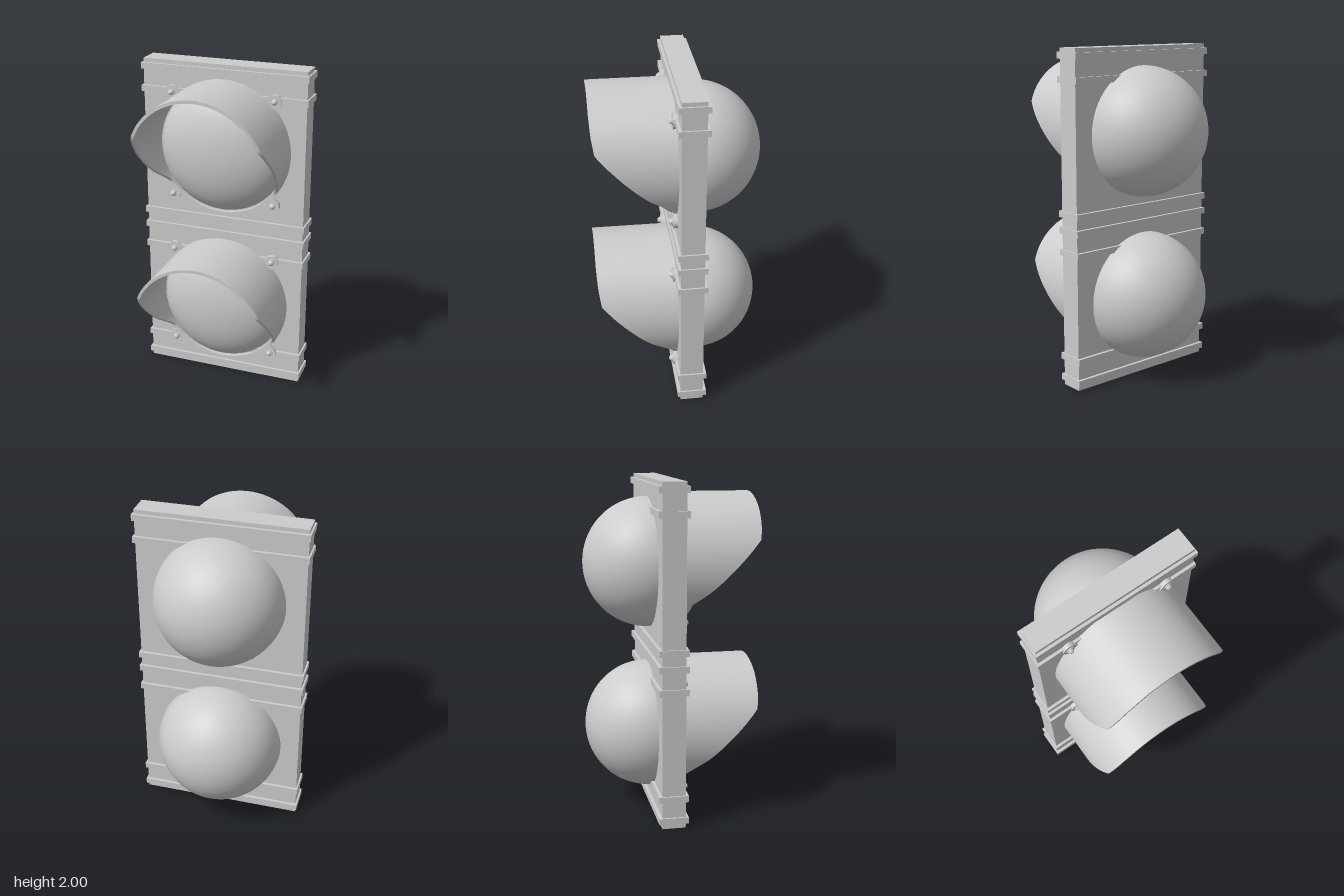
import * as THREE from 'three';
import { toCreasedNormals } from 'three/addons/utils/BufferGeometryUtils.js';

const material = new THREE.MeshStandardMaterial({ color: 0xcccccc });

function add(parent, name, geometry, x = 0, y = 0, z = 0) {
  const mesh = new THREE.Mesh(geometry, material);
  mesh.name = name;
  mesh.position.set(x, y, z);
  parent.add(mesh);
  return mesh;
}

// Front edge of the visor: [height above the lamp centre, z], bottom to top
const cut = [[-0.42, 0.05], [-0.24, 0.05], [-0.22, 0.07], [-0.135, 0.19], [-0.07, 0.26],
  [0.01, 0.34], [0.09, 0.417], [0.16, 0.48], [0.25, 0.494], [0.34, 0.5], [0.42, 0.5]];

function cutDepth(y) {
  const i = Math.max(1, cut.findIndex(p => p[0] >= y));
  const [y0, z0] = cut[i - 1], [y1, z1] = cut[i];
  return z0 + (z1 - z0) * (y - y0) / (y1 - y0);
}

// Thin tube around the lens, trimmed along the cut line
function visorGeometry(outer = 0.413, inner = 0.395, back = 0.01, segments = 128) {
  const positions = [], indices = [];
  for (let i = 0; i <= segments; i++) {
    const a = i / segments * Math.PI * 2;
    const front = cutDepth(outer * Math.sin(a));
    for (const [r, z] of [[outer, back], [outer, front], [inner, front], [inner, back]]) {
      positions.push(r * Math.cos(a), r * Math.sin(a), z);
    }
    if (i === segments) continue;
    for (let k = 0; k < 3; k++) {
      const p = i * 4 + k, q = p + 4;
      indices.push(p, q, q + 1, p, q + 1, p + 1);
    }
  }
  const geometry = new THREE.BufferGeometry();
  geometry.setAttribute('position', new THREE.Float32BufferAttribute(positions, 3));
  geometry.setIndex(indices);
  return toCreasedNormals(geometry, 0.6);
}

// Rounded ear that carries a bolt, pointing outwards along +x
function tabGeometry() {
  const shape = new THREE.Shape();
  shape.moveTo(-0.045, -0.035);
  shape.lineTo(0, -0.04);
  shape.absarc(0, 0, 0.04, -Math.PI / 2, Math.PI / 2, false);
  shape.lineTo(-0.045, 0.035);
  return toCreasedNormals(
    new THREE.ExtrudeGeometry(shape, { depth: 0.03, bevelEnabled: false, curveSegments: 16 }), 0.6);
}

function createLamp() {
  const lamp = new THREE.Group();
  lamp.name = 'lamp';

  // Round housing bulging out of the back
  const housing = new THREE.SphereGeometry(0.387, 64, 32, 0, Math.PI * 2, 0, Math.PI / 2);
  add(lamp, 'rearDome', housing.rotateX(-Math.PI / 2), 0, 0, -0.113);

  // Shallow lens
  const lens = new THREE.SphereGeometry(0.39, 64, 32, 0, Math.PI * 2, 0, Math.PI / 2);
  add(lamp, 'lens', lens.rotateX(Math.PI / 2).scale(1, 1, 0.2 / 0.39));

  add(lamp, 'visor', visorGeometry());

  // Four bolted ears on the diagonals
  const tab = tabGeometry();
  const washer = new THREE.CylinderGeometry(0.024, 0.024, 0.008, 20).rotateX(Math.PI / 2);
  const bolt = new THREE.SphereGeometry(0.018, 20, 8, 0, Math.PI * 2, 0, Math.PI / 2).rotateX(Math.PI / 2);
  for (let i = 0; i < 4; i++) {
    const mount = new THREE.Group();
    mount.name = 'visorMount';
    const a = Math.PI / 4 + i * Math.PI / 2;
    mount.position.set(0.447 * Math.cos(a), 0.447 * Math.sin(a), 0.02);
    mount.rotation.z = a;
    add(mount, 'tab', tab);
    add(mount, 'washer', washer, 0, 0, 0.032);
    add(mount, 'bolt', bolt, 0, 0, 0.035);
    lamp.add(mount);
  }
  return lamp;
}

export function createModel() {
  const model = new THREE.Group();
  model.name = 'twoLampSignal';

  add(model, 'backplate', new THREE.BoxGeometry(1, 2, 0.138), 0, 1, -0.045);

  // Raised bands wrapped around the plate
  const band = new THREE.BoxGeometry(1.02, 0.038, 0.174);
  for (const y of [0.048, 0.18, 0.82, 0.954, 1.05, 1.822, 1.957]) {
    add(model, 'band', band, 0, y, -0.046);
  }

  for (const y of [0.502, 1.502]) {
    const lamp = createLamp();
    lamp.position.y = y;
    model.add(lamp);
  }
  return model;
}
